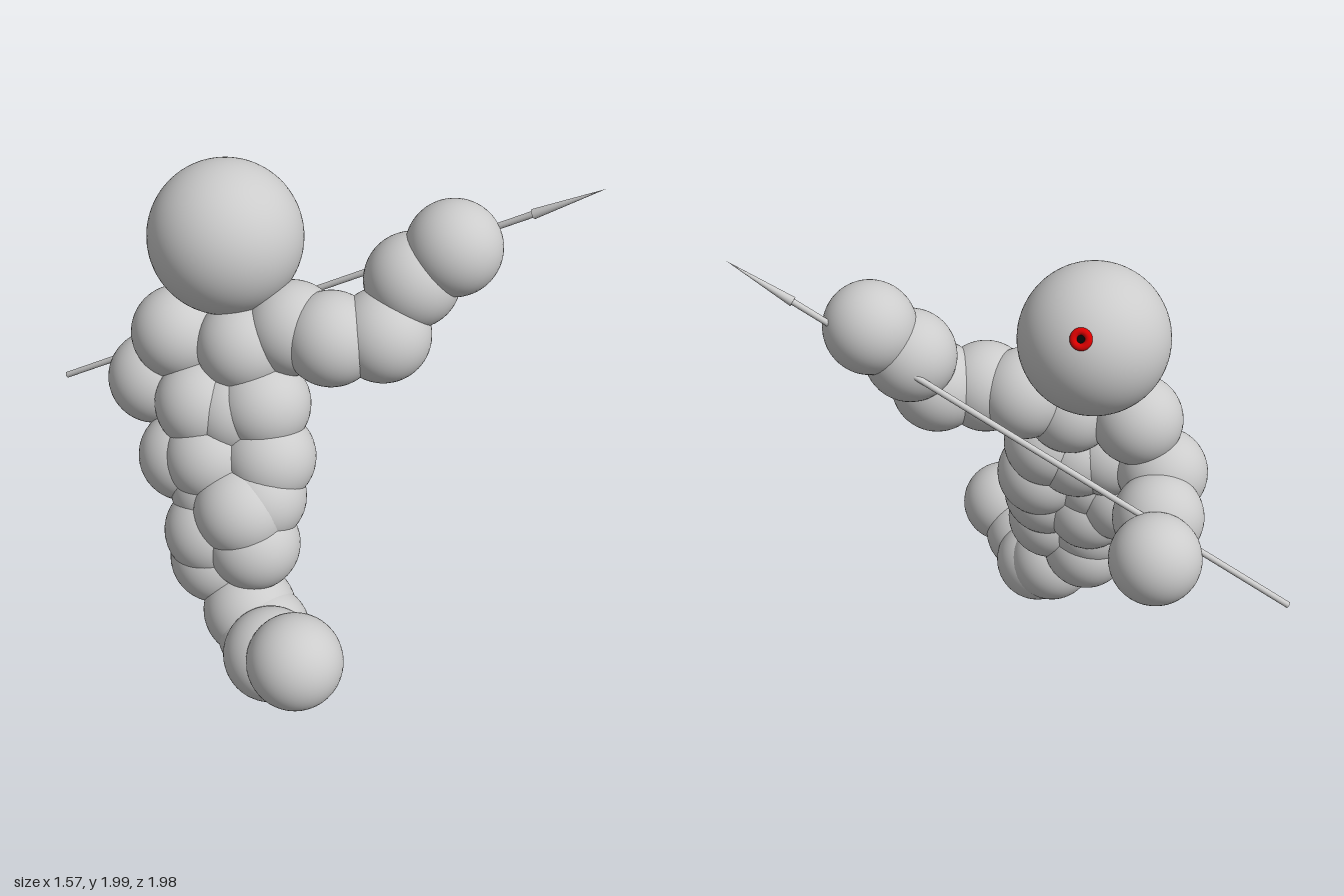
import * as THREE from 'three';

const grey = new THREE.MeshStandardMaterial({ color: 0xcccccc });
const red = new THREE.MeshStandardMaterial({ color: 0xdd0000 });
const black = new THREE.MeshStandardMaterial({ color: 0x050505 });
const UP = new THREE.Vector3(0, 1, 0);
const R = 0.19; // radius of every body ball

// Ball centres of each limb, from the body outwards
const limbs = {
  torso: [[-0.32, 1.28, 0.03], [-0.395, 1.02, 0.06], [-0.485, 1.03, -0.03], [-0.51, 0.84, 0.07]],
  leftArm: [[-0.16, 1.36, 0.14], [-0.08, 1.36, 0.29], [0.09, 1.375, 0.4], [0.23, 1.57, 0.39], [0.365, 1.708, 0.47]],
  rightArm: [[-0.475, 1.27, -0.21], [-0.545, 1.03, -0.3], [-0.4, 0.93, -0.43], [-0.225, 0.885, -0.595]],
  frontLeg: [[-0.31, 1.065, 0.155], [-0.34, 0.865, 0.235], [-0.41, 0.72, 0.27], [-0.5, 0.69, 0.27], [-0.475, 0.54, 0.32]],
  backLeg: [[-0.555, 0.785, -0.06], [-0.5, 0.69, 0.09], [-0.57, 0.54, 0.15], [-0.56, 0.41, 0.17], [-0.53, 0.25, 0.37]],
  foot: [[-0.525, 0.2, 0.465], [-0.6, 0.24, 0.63], [-0.6, 0.33, 0.8]],
};

function add(parent, name, geometry, material, position) {
  const mesh = new THREE.Mesh(geometry, material);
  mesh.name = name;
  mesh.position.copy(position);
  parent.add(mesh);
  return mesh;
}

// Tapered rod between two points
function rod(parent, name, a, b, r0, r1, sides) {
  const dir = b.clone().sub(a);
  const geometry = new THREE.CylinderGeometry(r1, r0, dir.length(), sides);
  const mesh = add(parent, name, geometry, grey, a.clone().lerp(b, 0.5));
  mesh.quaternion.setFromUnitVectors(UP, dir.normalize());
}

export function createModel() {
  const model = new THREE.Group();
  model.name = 'ballFigure';

  // Body and limbs made of overlapping balls
  const ball = new THREE.SphereGeometry(R, 44, 28);
  for (const [name, centres] of Object.entries(limbs)) {
    const limb = new THREE.Group();
    limb.name = name;
    centres.forEach((c, i) => add(limb, `${name}Ball${i + 1}`, ball, grey, new THREE.Vector3(...c)));
    model.add(limb);
  }

  // Head
  const headCentre = new THREE.Vector3(-0.285, 1.68, -0.14);
  add(model, 'head', new THREE.SphereGeometry(0.308, 64, 40), grey, headCentre);

  // Eye: red ring round a dark pupil, facing out from the head
  const out = new THREE.Vector3(0.23, 0.14, -0.17).normalize();
  const eye = new THREE.Group();
  eye.name = 'eye';
  eye.position.copy(headCentre).addScaledVector(out, 0.31);
  eye.quaternion.setFromUnitVectors(new THREE.Vector3(0, 0, 1), out);
  add(eye, 'eyeRing', new THREE.TorusGeometry(0.03, 0.015, 16, 36), red, new THREE.Vector3());
  add(eye, 'pupil', new THREE.CircleGeometry(0.024, 24), black, new THREE.Vector3(0, 0, 0.003));
  model.add(eye);

  // Spear held across both hands
  const spear = new THREE.Group();
  spear.name = 'spear';
  const butt = new THREE.Vector3(-0.615, 0.685, -0.98);
  const tip = new THREE.Vector3(0.78, 1.995, 0.83);
  const neck = butt.clone().lerp(tip, 0.885);
  rod(spear, 'spearShaft', butt, neck, 0.013, 0.013, 16);
  rod(spear, 'spearHead', neck, tip, 0.02, 0, 16);
  model.add(spear);

  return model;
}
